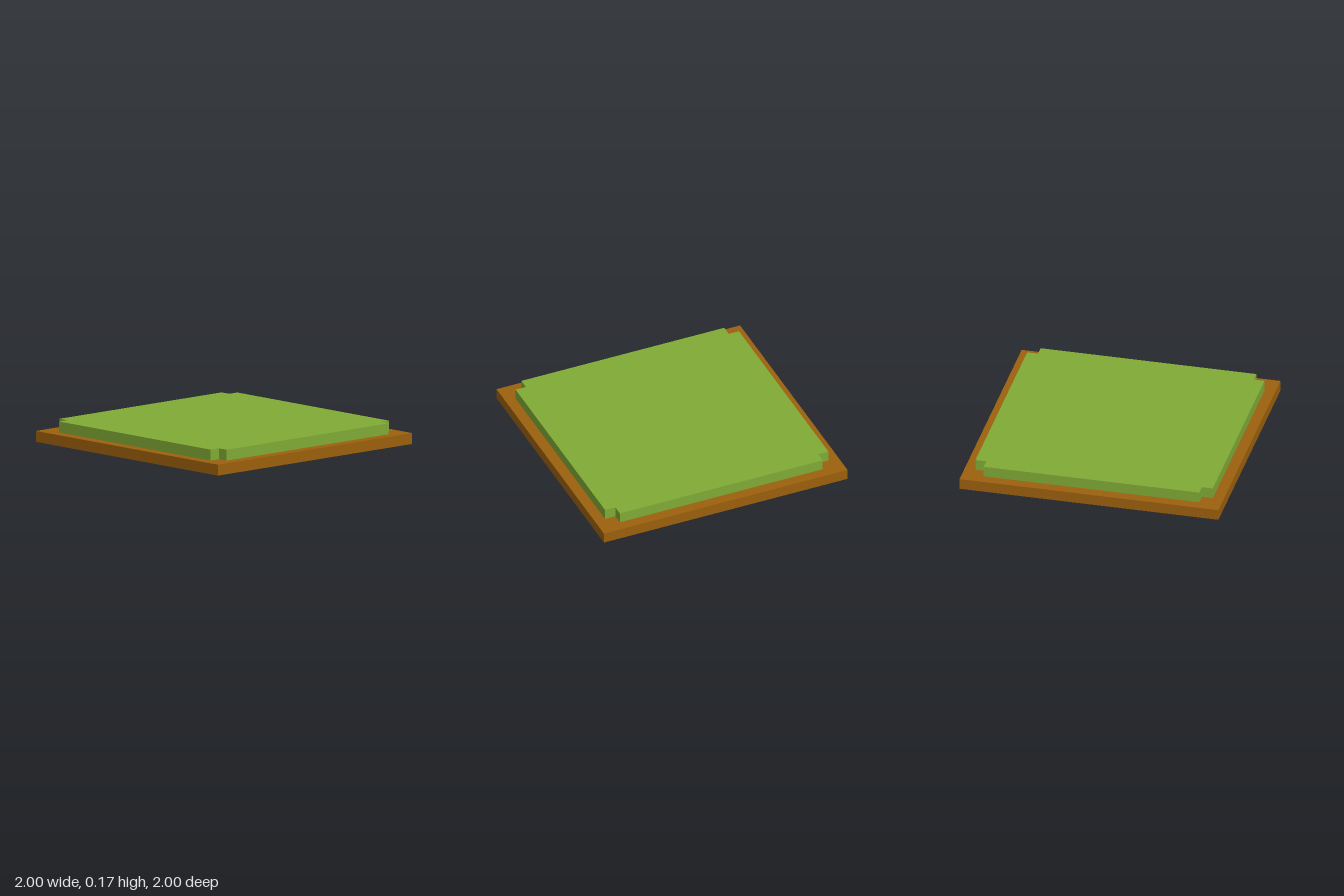
import * as THREE from 'three';

const HALF = 1;        // base half width
const OUTER = 0.917;   // turf half width
const INNER = 0.833;   // where the corner notches begin
const LAYER = 0.0833;  // thickness of each layer

// Square outline with a small square notch cut from each corner
function notchedPoints() {
  const points = [];
  for (let i = 0; i < 4; i++) {
    for (const [x, y] of [[OUTER, -INNER], [OUTER, INNER], [INNER, INNER]]) {
      points.push(new THREE.Vector2(x, y).rotateAround(new THREE.Vector2(), i * Math.PI / 2));
    }
  }
  return points;
}

// Extrude a flat outline upwards from height y
function slab(name, shape, y, height, material) {
  const geometry = new THREE.ExtrudeGeometry(shape, { depth: height, bevelEnabled: false });
  geometry.rotateX(-Math.PI / 2);
  geometry.translate(0, y, 0);
  const mesh = new THREE.Mesh(geometry, material);
  mesh.name = name;
  return mesh;
}

export function createModel() {
  const group = new THREE.Group();
  group.name = 'groundTile';

  const soil = new THREE.MeshStandardMaterial({ name: 'soilBrown', color: 0x9c600d });
  const grass = new THREE.MeshStandardMaterial({ name: 'grassGreen', color: 0x80aa35 });
  const red = new THREE.MeshStandardMaterial({ name: 'darkRed', color: 0x7f090d });

  // Soil base, open in the middle to take the underside inlay
  const baseShape = new THREE.Shape([
    new THREE.Vector2(-HALF, -HALF), new THREE.Vector2(HALF, -HALF),
    new THREE.Vector2(HALF, HALF), new THREE.Vector2(-HALF, HALF),
  ]);
  baseShape.holes.push(new THREE.Path(notchedPoints()));
  group.add(slab('soilBase', baseShape, 0, LAYER, soil));

  // Grass layer and the flush inlay below share one notched outline
  const notched = new THREE.Shape(notchedPoints());
  group.add(slab('grassTop', notched, LAYER, LAYER, grass));
  group.add(slab('undersideInlay', notched, 0, 0.009, red));

  return group;
}
